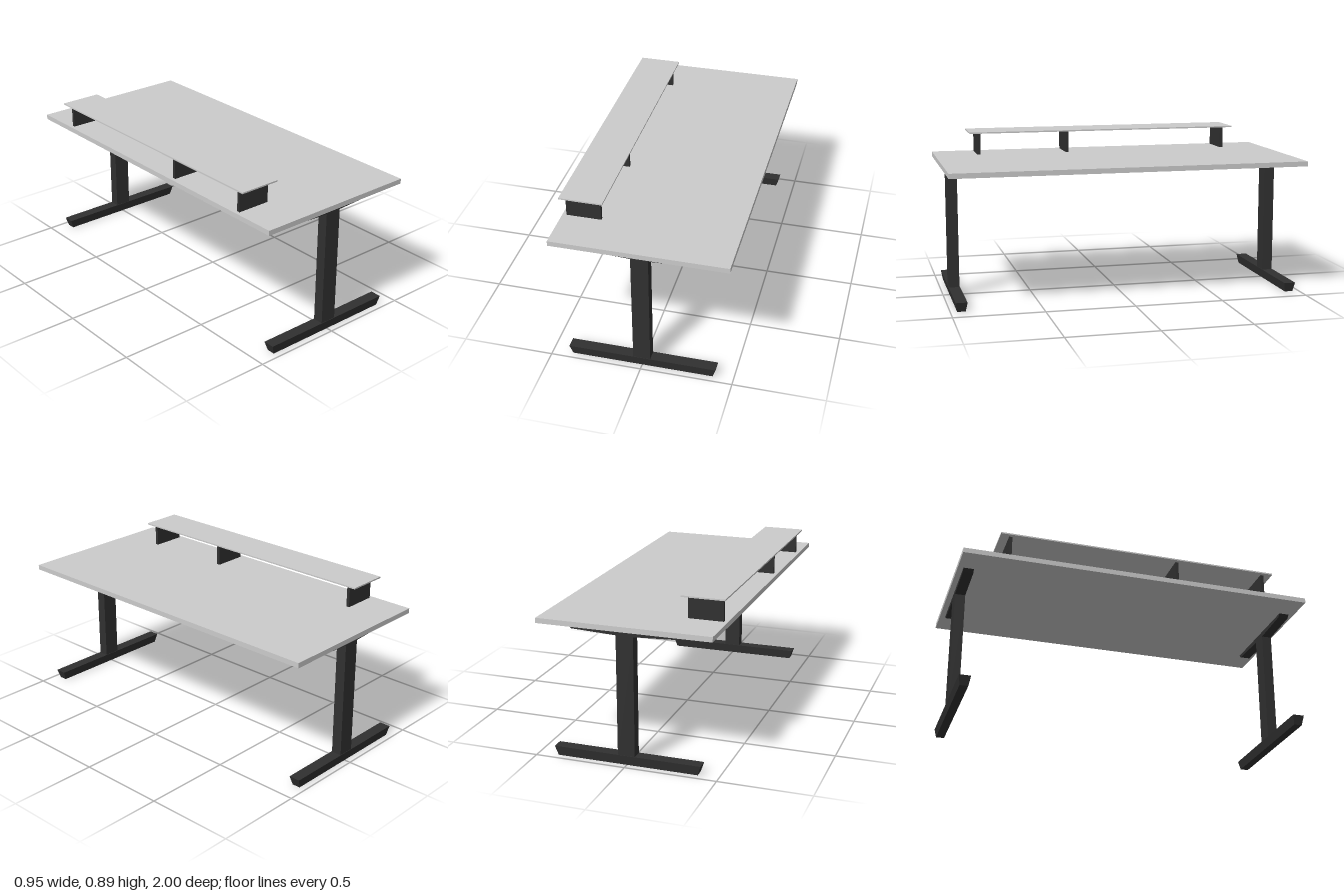
import * as THREE from 'three';

const grey = new THREE.MeshStandardMaterial({ color: 0xcccccc });
const dark = new THREE.MeshStandardMaterial({ color: 0x303030 });

// Box given by its min and max corners
function box(name, material, [x0, y0, z0], [x1, y1, z1]) {
  const mesh = new THREE.Mesh(new THREE.BoxGeometry(x1 - x0, y1 - y0, z1 - z0), material);
  mesh.name = name;
  mesh.position.set((x0 + x1) / 2, (y0 + y1) / 2, (z0 + z1) / 2);
  return mesh;
}

// Foot bar: a box narrowed towards the floor
function makeFoot() {
  const height = 0.053;
  const geometry = new THREE.BoxGeometry(0.81, height, 0.064);
  const pos = geometry.attributes.position;
  for (let i = 0; i < pos.count; i++) {
    if (pos.getY(i) < 0) {
      pos.setX(i, Math.sign(pos.getX(i)) * 0.388);
      pos.setZ(i, Math.sign(pos.getZ(i)) * 0.023);
    }
  }
  geometry.computeVertexNormals();
  const foot = new THREE.Mesh(geometry, dark);
  foot.name = 'foot';
  foot.position.y = height / 2;
  return foot;
}

// Tapered support arm under the desktop
function makeBracket() {
  const depth = 0.058;
  const half = [[0.047, 0.706], [0.29, 0.717], [0.308, 0.735]];
  const points = [...half, ...half.map(([x, y]) => [-x, y]).reverse()];
  const shape = new THREE.Shape(points.map(([x, y]) => new THREE.Vector2(x, y)));
  const geometry = new THREE.ExtrudeGeometry(shape, { depth, bevelEnabled: false });
  geometry.translate(0, 0, -depth / 2);
  const bracket = new THREE.Mesh(geometry, dark);
  bracket.name = 'bracket';
  return bracket;
}

export function createModel() {
  const desk = new THREE.Group();
  desk.name = 'desk';

  desk.add(box('desktop', grey, [-0.475, 0.735, -1], [0.475, 0.763, 1]));

  // Raised shelf on three upright supports
  desk.add(box('shelf', grey, [-0.475, 0.887, -0.8], [-0.24, 0.895, 0.8]));
  for (const z of [-0.742, 0.222, 0.745]) {
    desk.add(box('shelfSupport', dark, [-0.453, 0.763, z - 0.009], [-0.263, 0.887, z + 0.009]));
  }

  // T-shaped leg at each end
  for (const side of [1, -1]) {
    const leg = new THREE.Group();
    leg.name = side > 0 ? 'frontLeg' : 'backLeg';
    leg.position.z = side * 0.94;
    leg.add(
      makeFoot(),
      box('column', dark, [-0.047, 0.053, -0.029], [0.047, 0.706, 0.029]),
      makeBracket()
    );
    desk.add(leg);
  }
  return desk;
}
